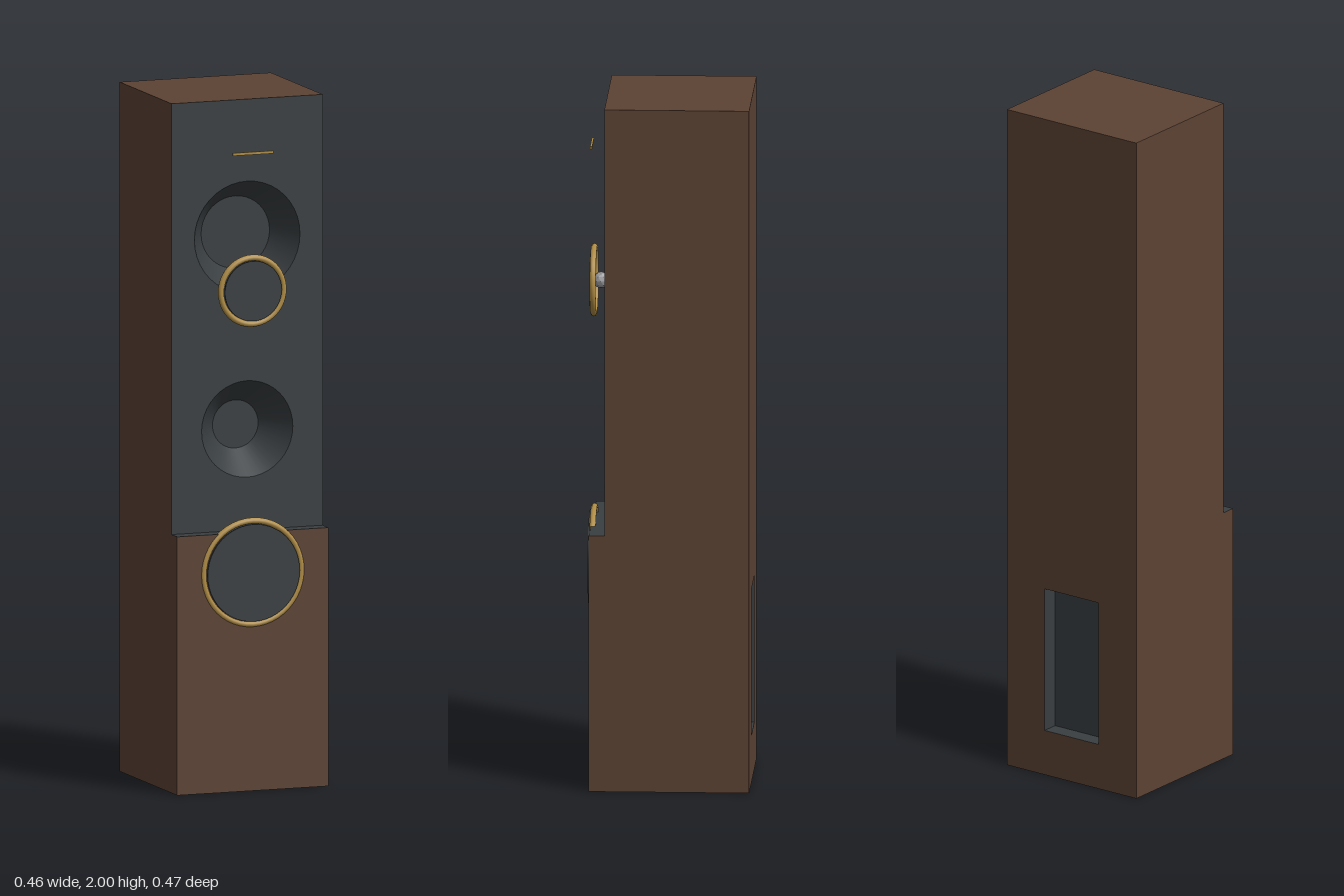
import * as THREE from 'three';
import { toCreasedNormals } from 'three/addons/utils/BufferGeometryUtils.js';

const W = 0.232, BACK = -0.235, BAFFLE = 0.18, FRONT = 0.225, STEP = 0.75, H = 2;

const mat = (color) => new THREE.MeshStandardMaterial({ color, side: THREE.DoubleSide });

// Closed outline from corner pairs
const outline = (pts) => new THREE.Shape(pts.map(([x, y]) => new THREE.Vector2(x, y)));
const rect = (x0, y0, x1, y1) => outline([[x0, y0], [x1, y0], [x1, y1], [x0, y1]]);

export function createModel() {
  const model = new THREE.Group();
  const wood = mat(0x5c4233), dark = mat(0x393e41), gold = mat(0xb08d45), silver = mat(0x9c9ca0);

  const add = (name, geometry, material, x = 0, y = 0, z = 0) => {
    const mesh = new THREE.Mesh(geometry, material);
    mesh.name = name;
    mesh.position.set(x, y, z);
    model.add(mesh);
    return mesh;
  };

  // Side panels with the stepped profile (drawn in z, y)
  const profile = outline([[BACK, 0], [FRONT, 0], [FRONT, STEP], [BAFFLE, STEP], [BAFFLE, H], [BACK, H]]);
  add('leftSide', new THREE.ShapeGeometry(profile).rotateY(-Math.PI / 2).scale(-1, 1, 1), wood, W);
  add('rightSide', new THREE.ShapeGeometry(profile).rotateY(-Math.PI / 2), wood, -W);

  // Horizontal panels, facing up or down
  const flat = (name, z0, z1, y, material, up) => add(name,
    new THREE.PlaneGeometry(2 * W, z1 - z0).rotateX(up ? -Math.PI / 2 : Math.PI / 2), material, 0, y, (z0 + z1) / 2);
  flat('topPanel', BACK, BAFFLE, H, wood, true);
  flat('stepLedge', BAFFLE, FRONT, STEP, dark, true);
  flat('basePanel', BACK, FRONT, 0, dark, false);

  // Lower front
  add('lowerFront', new THREE.ShapeGeometry(rect(-W, 0, W, STEP)), wood, 0, 0, FRONT);

  // Upper baffle with conical driver recesses
  const drivers = [
    { name: 'upperDriver', y: 1.6, outer: 0.162, inner: 0.105 },
    { name: 'lowerDriver', y: 1.043, outer: 0.14, inner: 0.07 },
  ];
  const baffle = rect(-W, STEP, W, H);
  for (const { name, y, outer, inner } of drivers) {
    baffle.holes.push(new THREE.Path().absarc(0, y, outer, 0, Math.PI * 2, true));
    const cone = new THREE.LatheGeometry(
      [[0, -0.095], [inner, -0.095], [outer, 0]].map(([r, h]) => new THREE.Vector2(r, h)), 40);
    cone.rotateX(Math.PI / 2);
    add(name, toCreasedNormals(cone, 0.5), dark, 0, y, BAFFLE);
  }
  add('baffle', new THREE.ShapeGeometry(baffle, 20), dark, 0, 0, BAFFLE);

  // Back panel with a recessed terminal bay
  const bx = 0.097, by0 = 0.135, by1 = 0.567, depth = 0.05;
  const back = rect(-W, 0, W, H);
  back.holes.push(rect(-bx, by0, bx, by1));
  add('backPanel', new THREE.ShapeGeometry(back).rotateY(Math.PI), wood, 0, 0, BACK);
  const bay = new THREE.Group();
  bay.name = 'terminalBay';
  bay.position.set(0, (by0 + by1) / 2, BACK);
  const bayPart = (w, h, rx, ry, x, y, z) => {
    const m = new THREE.Mesh(new THREE.PlaneGeometry(w, h).rotateX(rx).rotateY(ry), dark);
    m.name = 'bayWall';
    m.position.set(x, y, z);
    bay.add(m);
  };
  const bh = by1 - by0;
  bayPart(2 * bx, bh, 0, Math.PI, 0, 0, depth);
  for (const s of [-1, 1]) {
    bayPart(depth, bh, 0, -s * Math.PI / 2, s * bx, 0, depth / 2);
    bayPart(2 * bx, depth, s * Math.PI / 2, 0, 0, s * bh / 2, depth / 2);
  }
  model.add(bay);

  // Gold trim rings with dark face discs
  const ringedDisc = (name, y, radius, tube, faceZ) => {
    add(name + 'Ring', new THREE.TorusGeometry(radius, tube, 10, 48), gold, 0, y, 0.22);
    add(name + 'Disc', new THREE.CylinderGeometry(radius - tube, radius - tube, 0.006, 48)
      .rotateX(Math.PI / 2), dark, 0, y, faceZ - 0.003);
  };
  ringedDisc('tweeter', 1.45, 0.096, 0.009, 0.23);
  ringedDisc('bass', 0.633, 0.15, 0.009, 0.233);

  // Small faceted dome behind the tweeter
  const domeMat = silver.clone();
  domeMat.flatShading = true;
  add('tweeterDome', new THREE.IcosahedronGeometry(0.024, 1), domeMat, 0, 1.45, 0.2);

  // Accent strip
  add('accentStrip', new THREE.BoxGeometry(0.124, 0.008, 0.006), gold, 0, 1.85, 0.226);

  return model;
}
